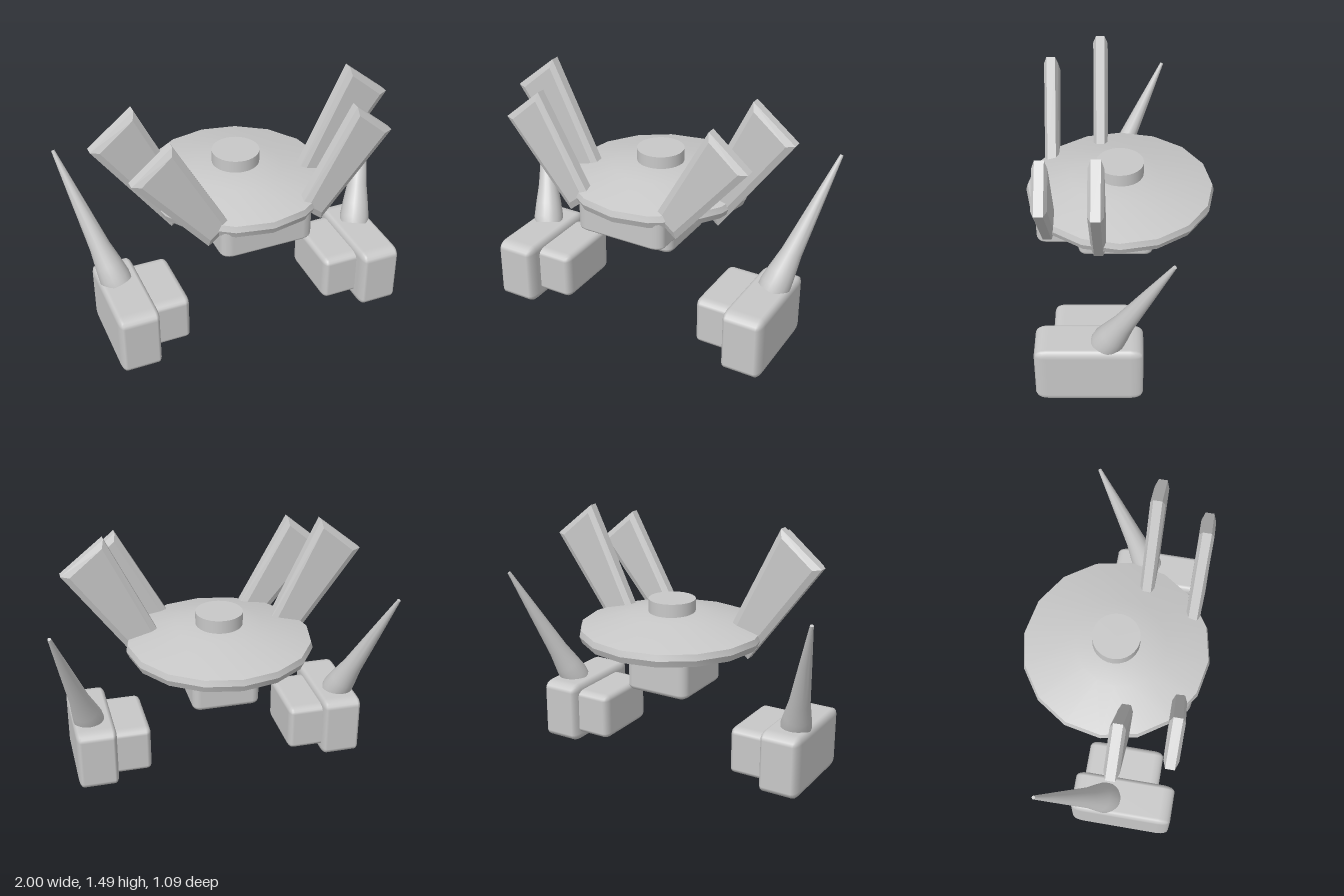
import * as THREE from 'three';
import { toCreasedNormals } from 'three/addons/utils/BufferGeometryUtils.js';
import { RoundedBoxGeometry } from 'three/addons/geometries/RoundedBoxGeometry.js';

const grey = new THREE.MeshStandardMaterial({ color: 0xc8c8c8 });
grey.name = 'light grey';

const v2 = (pairs) => pairs.map(([x, y]) => new THREE.Vector2(x, y));

export function createModel() {
  const model = new THREE.Group();
  model.name = 'discRobot';

  const add = (name, geometry) => {
    const mesh = new THREE.Mesh(geometry, grey);
    mesh.name = name;
    model.add(mesh);
    return mesh;
  };

  // Blocks are one bevelled cube stretched between two corners
  const cube = new RoundedBoxGeometry(1, 1, 1, 2, 0.12);
  const block = (name, x0, x1, y0, y1, z0, z1) => {
    const mesh = add(name, cube);
    mesh.scale.set(Math.abs(x1 - x0), y1 - y0, z1 - z0);
    mesh.position.set((x0 + x1) / 2, (y0 + y1) / 2, (z0 + z1) / 2);
  };

  // Disc body, its crown leaning slightly forward
  const disc = new THREE.LatheGeometry(v2([
    [0, 0.745], [0.22, 0.748], [0.53, 0.792], [0.545, 0.83], [0.535, 0.865],
    [0.26, 0.935], [0.14, 0.952], [0, 0.955],
  ]), 16);
  const pos = disc.attributes.position;
  for (let i = 0; i < pos.count; i++) {
    const r = Math.hypot(pos.getX(i), pos.getZ(i));
    pos.setZ(i, pos.getZ(i) + 0.06 * Math.max(0, 1 - r / 0.53));
  }
  add('discBody', toCreasedNormals(disc, 0.6));

  // Cap on top
  add('topCap', new THREE.CylinderGeometry(0.137, 0.137, 0.1, 32)).position.y = 0.975;

  // Blocks hanging under the disc
  block('frontUnderBlock', -0.275, 0.275, 0.64, 0.86, 0.025, 0.48);
  block('lowerUnderBlock', -0.2, 0.2, 0.48, 0.77, -0.195, 0.245);

  // Tapered plates with chamfered rims
  const plate = (name, side, corners, z) => {
    const shape = new THREE.Shape(v2(corners.map(([x, y]) => [x * side, y])));
    const geometry = new THREE.ExtrudeGeometry(shape, {
      depth: 0.05, bevelEnabled: true, bevelSegments: 1,
      bevelThickness: 0.017, bevelSize: 0.035, bevelOffset: -0.035,
    });
    geometry.translate(0, 0, z - 0.025);
    add(name, geometry);
  };

  // Horn profile, from wide foot to thin tip
  const hornLength = 0.83;
  const hornShape = new THREE.LatheGeometry(v2([
    [0, -0.02], [0.088, -0.02], [0.09, 0.02], [0.079, 0.1], [0.06, 0.22], [0.035, 0.53],
    [0.01, hornLength], [0, hornLength],
  ]), 20);
  const horn = toCreasedNormals(hornShape, 0.8);

  for (const [label, side] of [['left', 1], ['right', -1]]) {
    plate(label + 'BackPlate', side,
      [[0.877, 1.29], [0.63, 1.487], [0.305, 0.82], [0.45, 0.705]], 0.118);
    plate(label + 'FrontPlate', side,
      [[0.75, 1.22], [0.525, 1.407], [0.21, 0.84], [0.34, 0.733]], 0.408);

    // Feet: tall outer block and smaller inner block
    block(label + 'OuterFoot', side * 0.637, side * 0.877, 0, 0.375, -0.13, 0.47);
    block(label + 'InnerFoot', side * 0.43, side * 0.69, 0.05, 0.335, -0.08, 0.37);

    // Horn leaning outwards and back
    const base = new THREE.Vector3(side * 0.778, 0.37, 0.07);
    const tip = new THREE.Vector3(side * 0.988, 1.1, -0.268);
    const mesh = add(label + 'Horn', horn);
    const axis = tip.clone().sub(base);
    mesh.scale.y = axis.length() / hornLength;
    mesh.position.copy(base);
    mesh.quaternion.setFromUnitVectors(new THREE.Vector3(0, 1, 0), axis.normalize());
  }

  return model;
}
